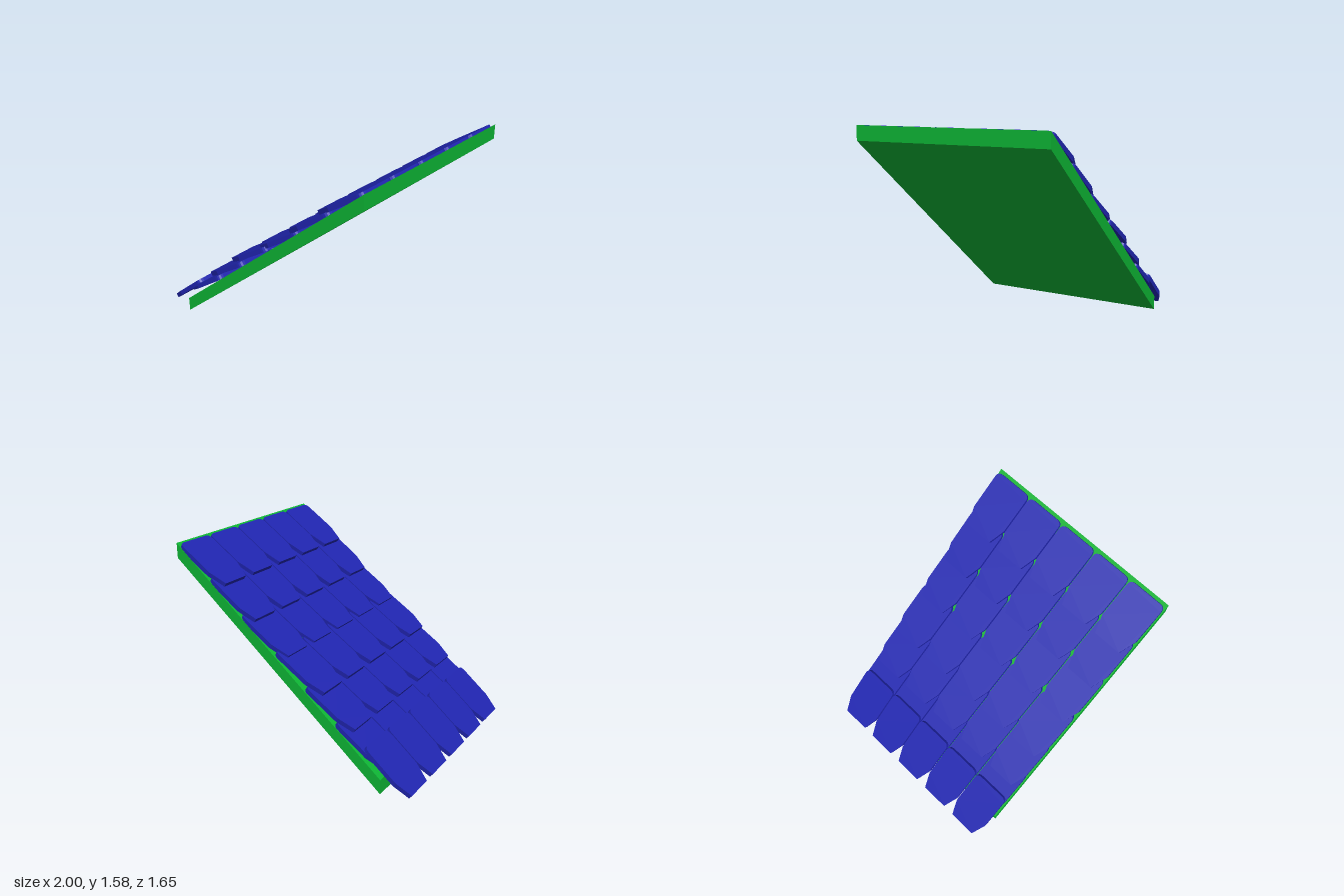
import * as THREE from 'three';

const TILE = { length: 0.465, half: 0.16, tipHalf: 0.115, taper: 0.14, thick: 0.036 };

// Tile outline: tapered lower end, rounded upper corners; top face lies on y = 0
function tileGeometry() {
  const { length: L, half: h, tipHalf, taper, thick } = TILE;
  const r = 0.045;
  const s = new THREE.Shape();
  s.moveTo(0, -tipHalf);
  s.lineTo(taper, -h);
  s.lineTo(L - r, -h);
  s.quadraticCurveTo(L, -h, L, -h + r);
  s.lineTo(L, h - r);
  s.quadraticCurveTo(L, h, L - r, h);
  s.lineTo(taper, h);
  s.lineTo(0, tipHalf);
  s.closePath();
  const g = new THREE.ExtrudeGeometry(s, { depth: thick, bevelEnabled: false, curveSegments: 4 });
  g.rotateX(-Math.PI / 2);
  g.translate(0, -thick, 0);
  return g;
}

export function createModel() {
  const model = new THREE.Group();
  model.name = 'tiledRoof';
  const green = new THREE.MeshStandardMaterial({ color: 0x0db434, flatShading: true });
  const blue = new THREE.MeshStandardMaterial({ color: 0x2025b0, flatShading: true });

  // Sloping roof slab with vertical ends
  const profile = new THREE.Shape([
    new THREE.Vector2(-0.77, 0),
    new THREE.Vector2(1, 1.465),
    new THREE.Vector2(1, 1.58),
    new THREE.Vector2(-0.77, 0.115),
  ]);
  const slabGeo = new THREE.ExtrudeGeometry(profile, { depth: 1.65, bevelEnabled: false });
  slabGeo.translate(0, 0, -0.825);
  const slab = new THREE.Mesh(slabGeo, green);
  slab.name = 'roofSlab';
  model.add(slab);

  // Overlapping courses: lower end of the top face (x, y) and pitch in degrees
  const courses = [
    [-1, 0.04, 39.5],
    [-0.783, 0.203, 34.5],
    [-0.537, 0.43, 32.6],
    [-0.28, 0.652, 32.2],
    [0.027, 0.868, 33],
    [0.313, 1.094, 35],
    [0.58, 1.322, 33.6],
  ];
  const geo = tileGeometry();
  courses.forEach(([x, y, pitch], i) => {
    const course = new THREE.Group();
    course.name = `tileCourse${i + 1}`;
    course.position.set(x, y, 0);
    course.rotation.z = THREE.MathUtils.degToRad(pitch);
    for (let c = -2; c <= 2; c++) {
      const tile = new THREE.Mesh(geo, blue);
      tile.name = 'roofTile';
      tile.position.z = c * 0.33 - 0.004;
      course.add(tile);
    }
    model.add(course);
  });
  return model;
}
